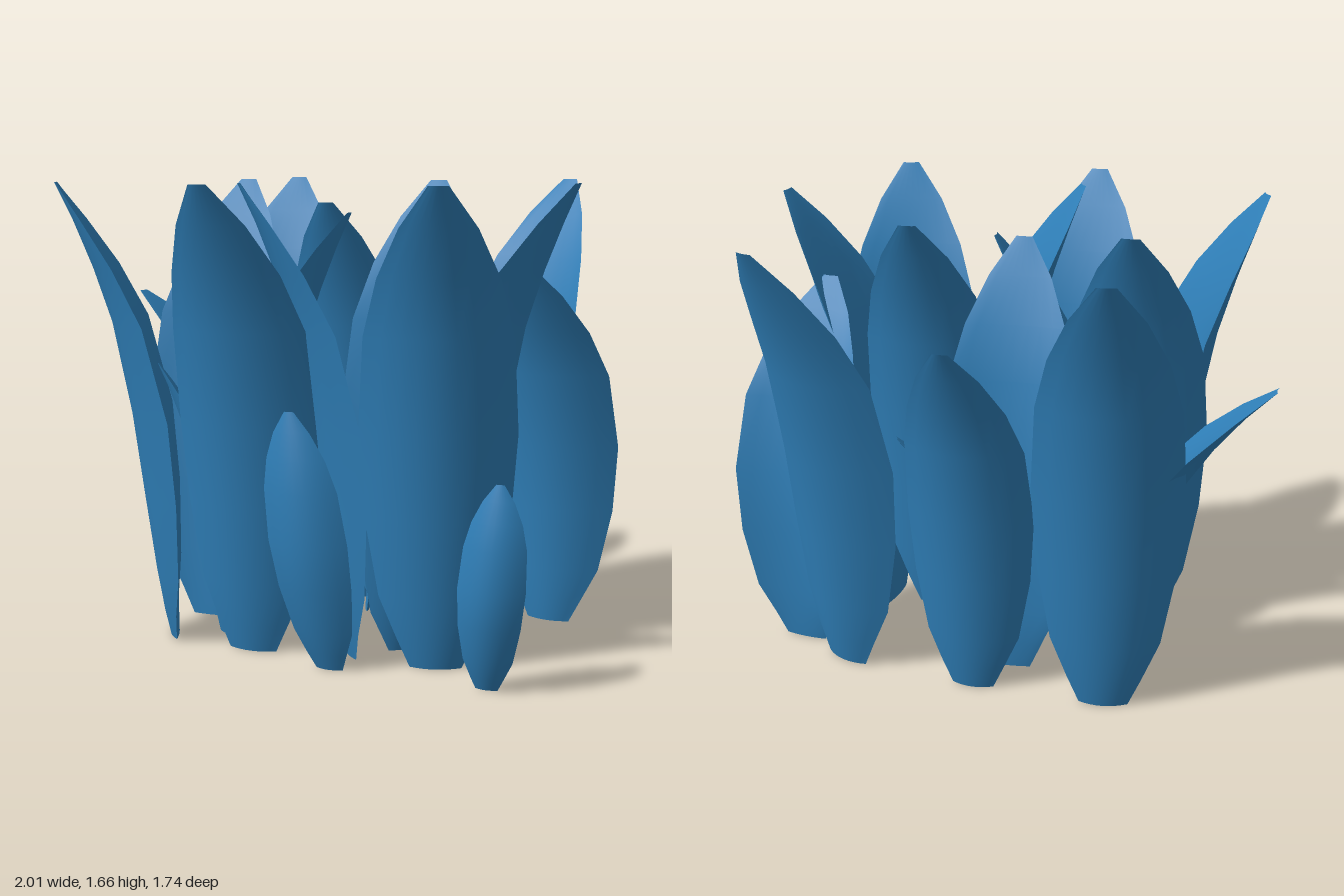
import * as THREE from 'three';
import { mergeGeometries } from 'three/addons/utils/BufferGeometryUtils.js';

// Blade stations from base to tip: height fraction, half width, outward bend, half thickness
const STATIONS = [
  [0, 0.09, 0, 0.012],
  [0.06, 0.135, 0.015, 0.02],
  [0.15, 0.2, 0.035, 0.026],
  [0.32, 0.25, 0.07, 0.03],
  [0.5, 0.27, 0.11, 0.03],
  [0.7, 0.25, 0.18, 0.026],
  [0.82, 0.2, 0.25, 0.022],
  [0.92, 0.125, 0.325, 0.014],
  [1, 0.032, 0.4, 0.004],
];
const COLUMNS = 8;
const CUP = 1.45; // how far the edges sweep back, relative to the squared half width

// One face of a cupped blade; side is 1 for the outer face, -1 for the inner
function bladeFace(side, { height, width, lean, bow = 0, shift = 0 }) {
  const rows = STATIONS.length - 1;
  const geo = new THREE.PlaneGeometry(1, 1, COLUMNS, rows);
  if (side < 0) geo.rotateY(Math.PI);
  const pos = geo.attributes.position;
  const scale = width / 0.54;
  for (let i = 0; i < pos.count; i++) {
    const [t, half, bend, thick] = STATIONS[rows - Math.floor(i / (COLUMNS + 1))];
    const u = pos.getX(i) * 2;
    const centre = bend * (lean / 0.4) + bow * Math.sin(Math.PI * t);
    const bulge = side > 0 ? thick : -1.6 * thick;
    const section = bulge * (1 - u * u) - half * half * CUP * u * u;
    pos.setXYZ(i, u * half * scale + shift * t, 0.01 + t * (height - 0.01), centre + section * scale);
  }
  geo.computeVertexNormals();
  return geo;
}

// Blade standing at (x, z) and bending towards direction (dx, dz)
function makeLeaf(name, material, { x, z, dx, dz, ...shape }) {
  const geo = mergeGeometries([bladeFace(1, shape), bladeFace(-1, shape)]);
  const leaf = new THREE.Mesh(geo, material);
  leaf.name = name;
  leaf.position.set(x, 0, z);
  leaf.rotation.y = Math.atan2(dx, dz);
  return leaf;
}

export function createModel() {
  const model = new THREE.Group();
  model.name = 'leafClump';
  const blue = new THREE.MeshStandardMaterial({ color: 0x2f7fb8 });
  blue.name = 'leafBlue';

  // Tall blades: x, z, direction x, direction z, height, width, lean, bow
  const tall = [
    [-0.46, -0.48, -0.13, -0.99, 1.67, 0.53, 0.39],
    [0.03, -0.47, 0, -1, 1.4, 0.46, 0.34],
    [0.55, -0.4, 0.38, -0.92, 1.67, 0.54, 0.39],
    [-0.06, -0.28, 0.06, 1, 1.59, 0.49, 0.29, -0.04],
    [0.76, -0.26, -0.12, 0.99, 1.38, 0.49, 0.32, -0.04],
    [0.33, 0.12, -0.06, -1, 1.67, 0.53, 0.39],
    [-0.45, 0.13, -0.06, -1, 1.67, 0.53, 0.39],
    [0.54, 0.15, 0.99, 0.1, 1.67, 0.55, 0.4],
    [-0.27, 0.16, 1, -0.08, 1.56, 0.5, 0.37],
    [-0.5, 0.39, -0.9, 0.43, 1.67, 0.54, 0.39],
    [0.19, 0.37, -0.88, 0.47, 1.67, 0.54, 0.38],
    [-0.145, 0.475, 0, 1, 1.67, 0.54, 0.39],
    [0.53, 0.43, 0.28, 0.96, 1.67, 0.54, 0.39],
  ];
  tall.forEach(([x, z, dx, dz, height, width, lean, bow], i) =>
    model.add(makeLeaf(`tallLeaf${i + 1}`, blue, { x, z, dx, dz, height, width, lean, bow })));

  // Short blades between the tall ones
  const short = [
    [0.07, -0.15, 0.92, -0.38, 0.88, 0.27, 0.32],
    [-0.35, 0.29, -0.88, 0.47, 1.02, 0.33, 0.22],
    [0.36, 0.27, 0.73, 0.68, 1.0, 0.34, 0.24],
    [-0.21, 0.28, 0.5, 0.86, 0.85, 0.28, 0.2],
  ];
  short.forEach(([x, z, dx, dz, height, width, lean], i) =>
    model.add(makeLeaf(`shortLeaf${i + 1}`, blue, { x, z, dx, dz, height, width, lean })));

  // Drooping side blade and the two small front blades that arch back inwards
  model.add(
    makeLeaf('droopingLeaf', blue,
      { x: -0.36, z: -0.33, dx: -1, dz: -0.02, height: 1.21, width: 0.46, lean: 0.64, bow: 0.05 }),
    makeLeaf('frontLeafCentre', blue,
      { x: 0.19, z: 0.57, dx: 0, dz: 1, height: 0.91, width: 0.29, lean: 0.04, bow: 0.08, shift: -0.13 }),
    makeLeaf('frontLeafLeft', blue,
      { x: 0.75, z: 0.57, dx: 0, dz: 1, height: 0.72, width: 0.23, lean: 0.05, bow: 0.08, shift: 0.05 })
  );
  return model;
}
